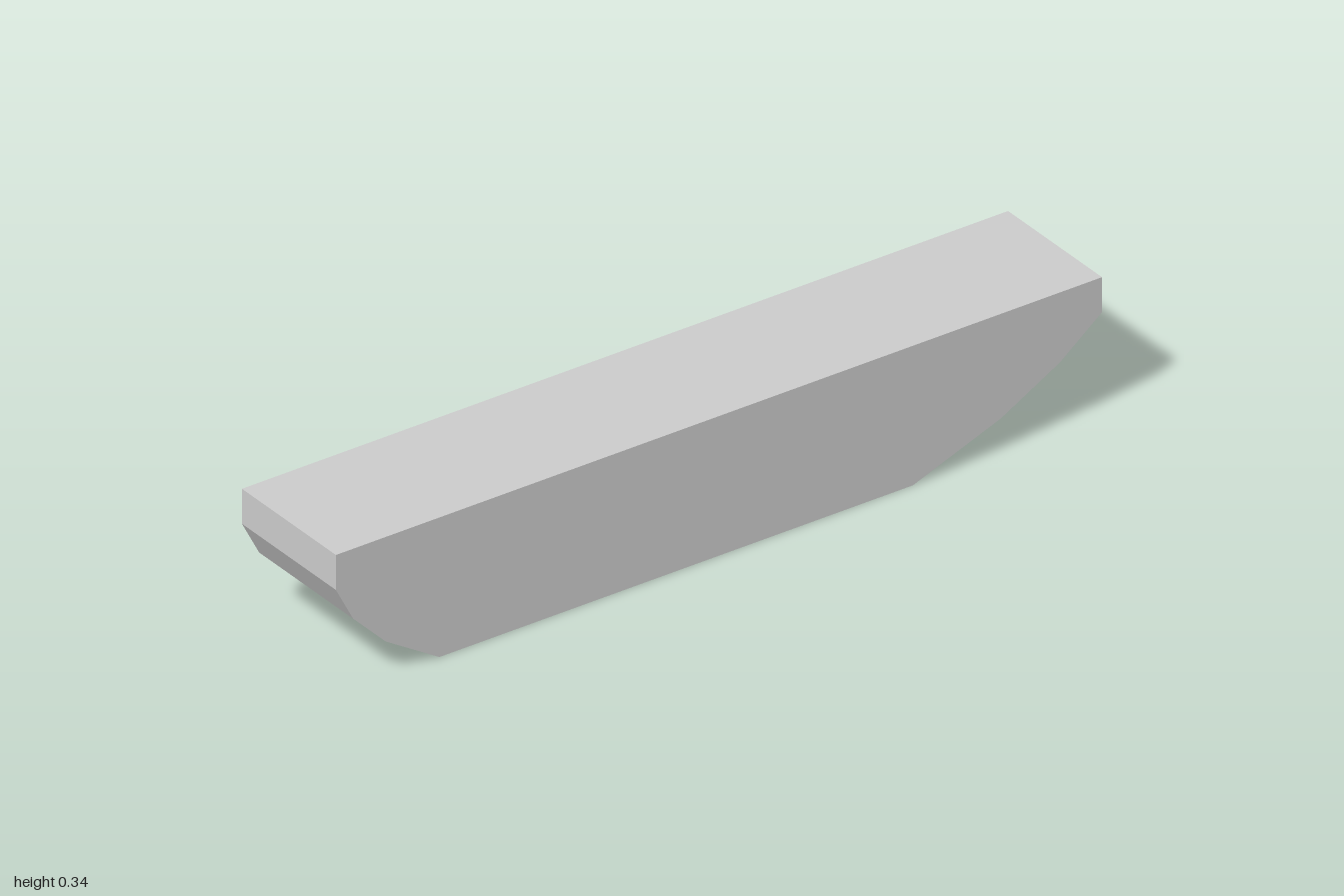
import * as THREE from 'three';

const WIDTH = 0.342;
const HEIGHT = 0.343;

export function createModel() {
  const group = new THREE.Group();
  group.name = 'hullBlock';

  // Side profile as (z, y): flat deck, steep faceted bow, longer sloping stern
  const profile = [
    [-0.506, 0], [0.73, 0], [0.87, 0.086], [0.955, 0.171], [1, 0.257],
    [1, HEIGHT], [-1, HEIGHT],
    [-1, 0.257], [-0.89, 0.171], [-0.736, 0.086],
  ].map(([z, y]) => new THREE.Vector2(z, y));

  // Extrude across the width, then turn the profile to run along z
  const geometry = new THREE.ExtrudeGeometry(new THREE.Shape(profile), {
    depth: WIDTH,
    bevelEnabled: false,
  });
  geometry.translate(0, 0, -WIDTH / 2);
  geometry.rotateY(-Math.PI / 2);

  const hull = new THREE.Mesh(
    geometry,
    new THREE.MeshStandardMaterial({ color: 0xcccccc, flatShading: true }),
  );
  hull.name = 'hull';
  group.add(hull);
  return group;
}
